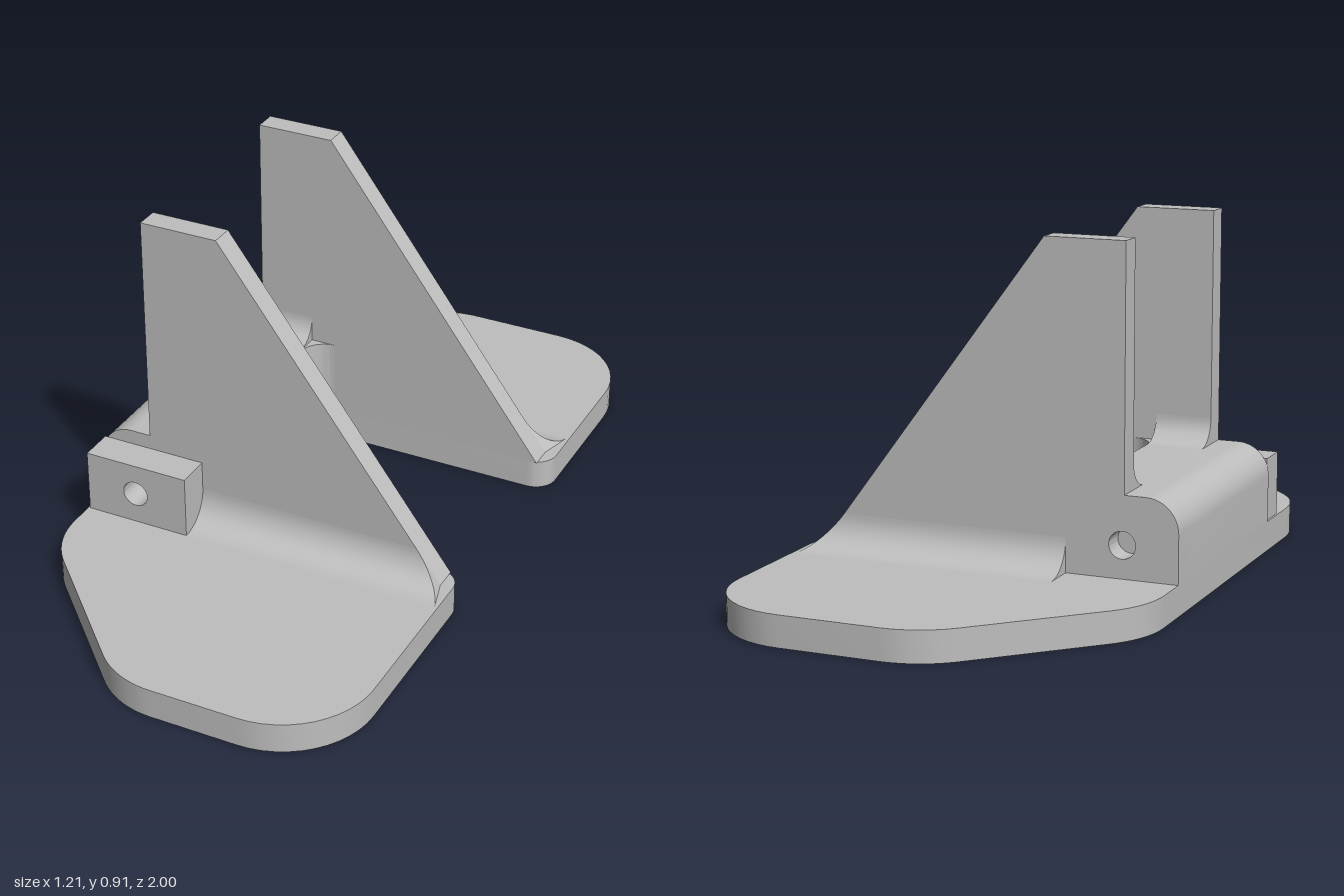
import * as THREE from 'three';
import { toCreasedNormals } from 'three/addons/utils/BufferGeometryUtils.js';

const BACK = -0.526, INNER = -0.232, TIP = 0.478;   // along the arms
const REAR = [-0.372, -0.31], FRONT = [0.253, 0.316]; // wall thickness ranges
const PLATE = 0.08, BLOCK = 0.29, TOP = 0.91;
const slopeEnd = (y) => 0.445 - (y - PLATE) * 0.745;

// Polygon with rounded corners; each corner is [a, b, radius]
function roundedShape(corners) {
  const pts = [];
  const n = corners.length;
  corners.forEach(([x, y, r = 0], i) => {
    const p = new THREE.Vector2(x, y);
    if (!r) return pts.push(p);
    const d1 = new THREE.Vector2(...corners[(i + n - 1) % n].slice(0, 2)).sub(p).normalize();
    const d2 = new THREE.Vector2(...corners[(i + 1) % n].slice(0, 2)).sub(p).normalize();
    const half = Math.acos(d1.dot(d2)) / 2;
    const center = d1.clone().add(d2).normalize().multiplyScalar(r / Math.sin(half)).add(p);
    const from = d1.multiplyScalar(r / Math.tan(half)).add(p).sub(center);
    const to = d2.multiplyScalar(r / Math.tan(half)).add(p).sub(center);
    const sweep = Math.atan2(from.cross(to), from.dot(to));
    for (let k = 0; k <= 12; k++) {
      pts.push(from.clone().rotateAround(new THREE.Vector2(), sweep * k / 12).add(center));
    }
  });
  return new THREE.Shape(pts);
}

// Concave fillet section in a corner, opening toward (sx, sy)
function filletShape(cx, cy, sx, sy, r) {
  const pts = [new THREE.Vector2(cx, cy)];
  for (let k = 0; k <= 12; k++) {
    const t = k / 12 * Math.PI / 2;
    pts.push(new THREE.Vector2(cx + sx * r * (1 - Math.sin(t)), cy + sy * r * (1 - Math.cos(t))));
  }
  return new THREE.Shape(pts);
}

const extrude = (shape, depth) =>
  new THREE.ExtrudeGeometry(shape, { depth, bevelEnabled: false, curveSegments: 24 });

export function createModel() {
  const model = new THREE.Group();
  const bracket = new THREE.Group();
  bracket.name = 'bracket';
  bracket.rotation.y = THREE.MathUtils.degToRad(10);
  model.add(bracket);
  const grey = new THREE.MeshStandardMaterial({ color: 0xbebebe });
  grey.name = 'plain grey';

  const add = (name, geometry) => {
    const mesh = new THREE.Mesh(toCreasedNormals(geometry, 0.4), grey);
    mesh.name = name;
    bracket.add(mesh);
  };
  // Extrusions upward, across the bracket, and along its arms
  const addUp = (name, shape, height) => add(name, extrude(shape, height).rotateX(-Math.PI / 2));
  const addAcross = (name, shape, v0, v1) => add(name, extrude(shape, v1 - v0).translate(0, 0, v0));
  const alongArm = (shape, u0, u1) => extrude(shape, u1 - u0).rotateY(Math.PI / 2).translate(u0, 0, 0);

  // C-shaped base plate, drawn with the front at negative b
  addUp('basePlate', roundedShape([
    [BACK, 0.57, 0.24], [BACK, -0.575, 0.24], [-0.095, -1.006, 0.24], [TIP, -1.006, 0.24],
    [TIP, -FRONT[0], 0.06], [INNER, -FRONT[0], 0.07], [INNER, -REAR[1], 0.07],
    [TIP, -REAR[1], 0.06], [TIP, 0.974, 0.24], [-0.122, 0.974, 0.24],
  ]), PLATE);

  // Raised bridge with a rounded back edge and a blind hole in its rear end
  const bridgeShape = () => roundedShape([
    [BACK, 0], [INNER, 0], [INNER, BLOCK], [BACK, BLOCK, 0.085],
  ]);
  const drill = (shape) => {
    shape.holes.push(new THREE.Path().absarc(-0.38, 0.165, 0.035, 0, Math.PI * 2, true));
    return shape;
  };
  addAcross('bridge', bridgeShape(), REAR[1], FRONT[1]);
  addAcross('bridgeRearEnd', drill(bridgeShape()), REAR[0], REAR[1]);

  // Drilled lug on the front end
  addAcross('frontLug', drill(roundedShape([
    [BACK + 0.005, 0.07], [INNER, 0.07], [INNER, 0.25], [BACK + 0.005, 0.25],
  ])), FRONT[1], 0.408);

  // Upright walls and their fillets
  const wallShape = roundedShape([
    [-0.385, BLOCK], [INNER, BLOCK], [INNER, PLATE], [slopeEnd(PLATE), PLATE],
    [slopeEnd(TOP), TOP], [-0.385, TOP],
  ]);
  for (const [label, [v0, v1], out] of [['front', FRONT, 1], ['rear', REAR, -1]]) {
    const outer = out > 0 ? v1 : v0;
    const inner = out > 0 ? v0 : v1;
    addAcross(label + 'Wall', wallShape, v0, v1);

    // Foot fillet, trimmed to the slope of the wall
    const foot = alongArm(filletShape(-outer, PLATE, -out, 1, 0.09), INNER, 0.4);
    const pos = foot.attributes.position;
    for (let i = 0; i < pos.count; i++) {
      if (pos.getX(i) > 0) {
        const spread = Math.abs(pos.getZ(i) - outer) / 0.09;
        pos.setX(i, slopeEnd(pos.getY(i)) + 0.025 * spread);
      }
    }
    add(label + 'FootFillet', foot);

    // Fillets where the wall meets the bridge
    add(label + 'BridgeFillet', alongArm(filletShape(-inner, BLOCK, out, 1, 0.07), -0.385, INNER));
    addUp(label + 'CornerFillet', filletShape(INNER, -inner, 1, out, 0.07), BLOCK);
  }
  return model;
}
